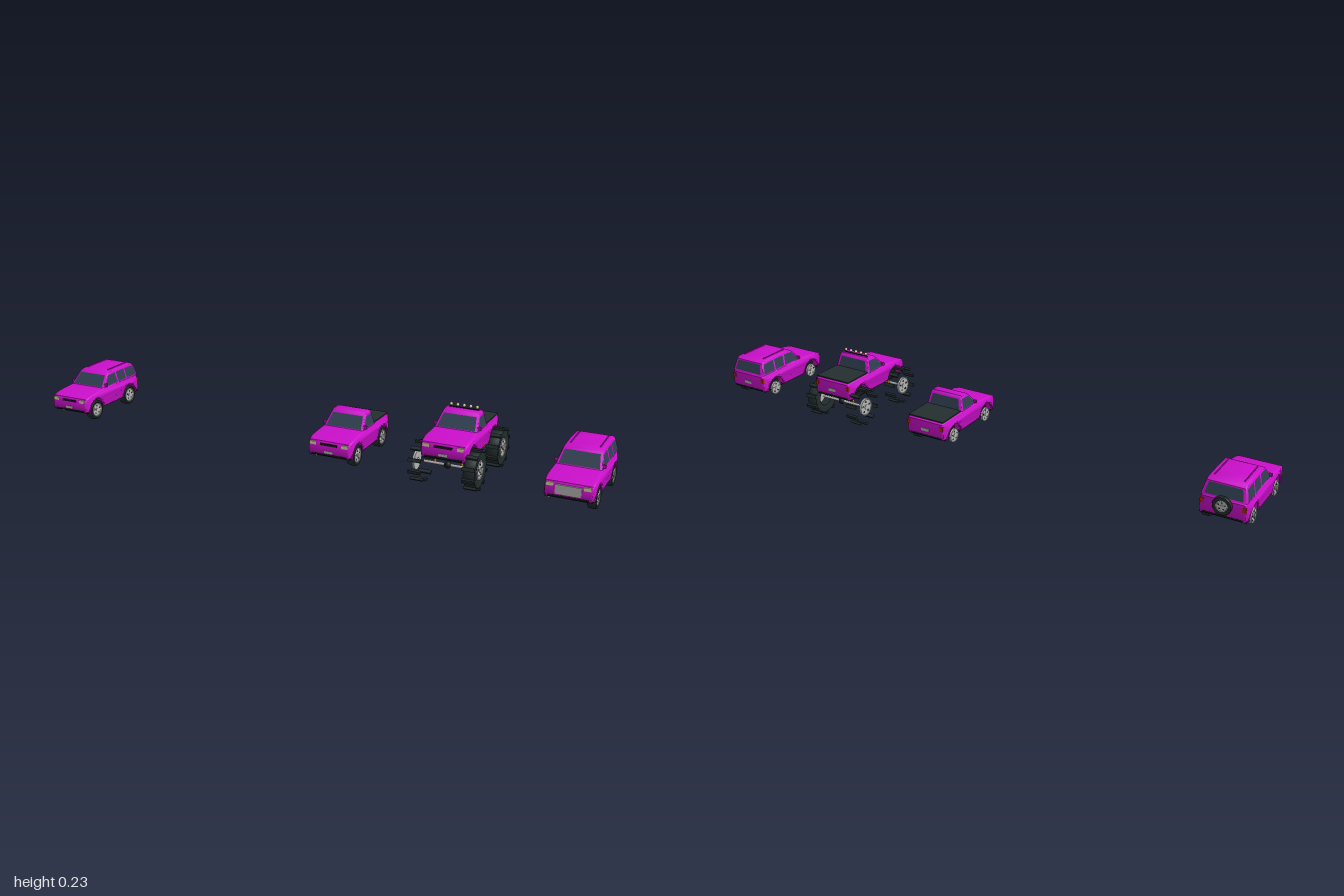
import * as THREE from 'three';
import { toCreasedNormals } from 'three/addons/utils/BufferGeometryUtils.js';

const mat = (name, color, side = THREE.FrontSide) => {
  const m = new THREE.MeshStandardMaterial({ color, side });
  m.name = name;
  return m;
};
const M = {
  paint: mat('magenta paint', 0xcc0fcc),
  glass: mat('slate glass', 0x2f3e50, THREE.DoubleSide),
  rubber: mat('tyre rubber', 0x222c2c),
  under: mat('black underside', 0x121819),
  bed: mat('bed liner', 0x252f2f),
  metal: mat('wheel metal', 0xb4b4b4),
  lamp: mat('cream lamp', 0xe0d4a4),
  tail: mat('red tail lamp', 0xb02414),
  spring: mat('orange spring', 0xe08a24),
};

function add(group, name, geo, material, x = 0, y = 0, z = 0) {
  const mesh = new THREE.Mesh(geo, material);
  mesh.name = name;
  mesh.position.set(x, y, z);
  group.add(mesh);
  return mesh;
}
const box = (w, h, d) => new THREE.BoxGeometry(w, h, d);
// Cylinder whose axis runs across the car
const disc = (r, w, n = 24) => new THREE.CylinderGeometry(r, r, w, n).rotateZ(Math.PI / 2);
const toShape = pts => new THREE.Shape(pts.map(p => new THREE.Vector2(p[0], p[1])));

// Side profile (z, y) extruded across the car, its width set by a rule
function hull(shape, halfWidth, bevel) {
  const depth = 2 - 2 * bevel.t;
  const geo = new THREE.ExtrudeGeometry(shape, {
    depth, curveSegments: 14, bevelEnabled: true, bevelSegments: 3,
    bevelThickness: bevel.t, bevelSize: bevel.s, bevelOffset: -bevel.s,
  });
  geo.translate(0, 0, -depth / 2).rotateY(-Math.PI / 2);
  const p = geo.attributes.position;
  for (let i = 0; i < p.count; i++) p.setX(i, p.getX(i) * halfWidth(p.getY(i), p.getZ(i)));
  return toCreasedNormals(geo, 0.6);
}

const ARCH_Z = [0.102, -0.1];
const bodyHalf = (y, z) =>
  0.079 - Math.max(0, y - 0.09) * 0.35 - Math.max(0, 0.055 - y) * 0.2 - Math.max(0, Math.abs(z) - 0.13) * 0.2;
const cabHalf = y => 0.072 - (y - 0.104) * 0.23;

function lowerBody(archR) {
  const s = toShape([[0.158, 0.043], [0.165, 0.055], [0.164, 0.082], [0.157, 0.093], [0.13, 0.1], [0.1, 0.104],
    [0.05, 0.108], [-0.155, 0.108], [-0.163, 0.1], [-0.165, 0.055], [-0.158, 0.042]]);
  for (const z of [...ARCH_Z].reverse()) s.absarc(z, 0.042, archR, Math.PI, 0, true);
  return hull(s, bodyHalf, { t: 0.07, s: 0.003 });
}

// Side window following the lean of the cab
function sidePane(group, name, pts) {
  for (const side of [-1, 1]) {
    const geo = new THREE.ShapeGeometry(toShape(pts)).rotateY(-Math.PI / 2);
    const p = geo.attributes.position;
    for (let i = 0; i < p.count; i++) p.setX(i, side * (cabHalf(p.getY(i)) + 0.001));
    geo.computeVertexNormals();
    add(group, name, geo, M.glass);
  }
}

// Flat window lying on the profile edge low -> high
function endPane(group, name, low, high, wLow, wHigh) {
  const dir = Math.sign(low[0] - high[0]);
  const n = new THREE.Vector2(high[1] - low[1], Math.abs(low[0] - high[0])).normalize().multiplyScalar(0.0012);
  const at = t => [low[0] + (high[0] - low[0]) * t + dir * n.x, low[1] + (high[1] - low[1]) * t + n.y];
  const [z0, y0] = at(0.12), [z1, y1] = at(0.92);
  const geo = new THREE.BufferGeometry();
  geo.setAttribute('position', new THREE.Float32BufferAttribute(
    [-wLow, y0, z0, wLow, y0, z0, wHigh, y1, z1, -wHigh, y1, z1], 3));
  geo.setIndex(dir > 0 ? [0, 1, 2, 0, 2, 3] : [0, 2, 1, 0, 3, 2]);
  geo.computeVertexNormals();
  add(group, name, geo, M.glass);
}

// Rim with cap and five openings; its outer face looks along +x
function rim(r, w) {
  const g = new THREE.Group();
  g.name = 'rim';
  add(g, 'rimDisc', disc(r, w), M.metal);
  add(g, 'rimLip', new THREE.TorusGeometry(r * 0.94, r * 0.07, 6, 24).rotateY(Math.PI / 2), M.metal, w / 2);
  add(g, 'hubCap', disc(r * 0.26, w + 0.004, 12), M.metal);
  for (let i = 0; i < 5; i++) {
    const a = i * Math.PI * 0.4;
    add(g, 'rimOpening', disc(r * 0.13, 0.001, 8), M.rubber, w / 2, Math.cos(a) * r * 0.58, Math.sin(a) * r * 0.58);
  }
  return g;
}
function tyre(r, inner, w) {
  const h = w / 2;
  const pts = [[inner, -h * 0.8], [r * 0.82, -h], [r * 0.95, -h * 0.9], [r, -h * 0.6], [r, h * 0.6],
    [r * 0.95, h * 0.9], [r * 0.82, h], [inner, h * 0.8], [inner, -h * 0.8]];
  const geo = new THREE.LatheGeometry(pts.map(p => new THREE.Vector2(...p)), 28).rotateZ(-Math.PI / 2);
  return toCreasedNormals(geo, 0.7);
}

// Right-hand (-x) wheels carry only the rim and, when big, the tread lugs
function wheel(side, big) {
  const g = new THREE.Group();
  g.name = big ? 'bigWheel' : 'wheel';
  const r = big ? 0.06 : 0.036, w = big ? 0.042 : 0.029, hub = big ? 0.032 : 0.025;
  if (side > 0) add(g, 'tyre', tyre(r, hub, w), M.rubber);
  const face = rim(hub, 0.006);
  face.position.x = side * (w / 2 - 0.006);
  if (side < 0) face.rotation.y = Math.PI;
  g.add(face);
  for (let i = 0; big && i < 10; i++) {
    const a = i * Math.PI / 5;
    const lug = add(g, 'treadLug', box(w, 0.008, 0.012), M.rubber, 0, -Math.cos(a) * 0.063, Math.sin(a) * 0.063);
    lug.rotation.x = -a;
  }
  return g;
}

function vehicle({ name, x, pickup, big, spare, wideGrille }) {
  const car = new THREE.Group();
  car.name = name;
  car.position.x = x;
  const body = new THREE.Group();
  body.name = 'body';
  body.position.y = big ? 0.057 : 0;
  car.add(body);

  // Shell and cab
  add(body, 'lowerBody', lowerBody(0.042), M.paint);
  const front = [[0.055, 0.104], [0.012, 0.149]];
  const rear = pickup ? [[-0.046, 0.104], [-0.036, 0.15]] : [[-0.163, 0.104], [-0.15, 0.148]];
  const roof = pickup ? [[0.002, 0.156], [-0.03, 0.157]] : [[0, 0.155], [-0.06, 0.158], [-0.138, 0.156]];
  add(body, 'cab', hull(toShape([...front, ...roof, rear[1], rear[0]]), cabHalf, { t: 0.07, s: 0.003 }), M.paint);
  add(body, 'underside', box(0.146, 0.003, 0.312), M.under, 0, 0.0415);
  add(body, 'wheelWells', box(0.1, 0.045, 0.3), M.under, 0, 0.066);
  for (const z of ARCH_Z) for (const s of [-1, 1])
    add(body, 'archFlare', new THREE.TorusGeometry(0.0425, 0.003, 6, 18, Math.PI).rotateY(Math.PI / 2), M.paint, s * 0.0755, 0.042, z);

  // Windows
  endPane(body, 'windscreen', ...front, 0.063, 0.055);
  endPane(body, 'rearWindow', ...rear, 0.06, 0.052);
  sidePane(body, 'frontSideWindow', [[0.041, 0.11], [0.008, 0.145], [-0.031, 0.147], [-0.037, 0.11]]);
  if (!pickup) {
    sidePane(body, 'middleSideWindow', [[-0.043, 0.11], [-0.04, 0.147], [-0.087, 0.147], [-0.09, 0.11]]);
    sidePane(body, 'rearSideWindow', [[-0.096, 0.11], [-0.093, 0.147], [-0.143, 0.145], [-0.152, 0.11]]);
    for (const s of [-1, 1]) add(body, 'roofRail', box(0.003, 0.003, 0.11), M.paint, s * 0.046, 0.159, -0.07);
  } else {
    add(body, 'bedCover', box(0.138, 0.004, 0.112), M.bed, 0, 0.1085, -0.104);
  }

  // Lamps, bumpers and mirrors
  for (const s of [-1, 1]) {
    add(body, 'headlamp', box(0.022, 0.011, 0.012), M.lamp, s * 0.057, 0.084, 0.1585);
    add(body, 'tailLamp', box(0.012, 0.016, 0.012), M.tail, s * 0.0655, 0.085, -0.159);
    add(body, 'mirror', box(0.012, 0.01, 0.007), M.paint, s * 0.073, 0.116, 0.036);
  }
  if (wideGrille) add(body, 'wideGrille', box(0.08, 0.03, 0.006), M.metal, 0, 0.071, 0.164);
  else {
    add(body, 'grille', box(0.06, 0.007, 0.004), M.under, 0, 0.083, 0.163);
    add(body, 'frontPlate', box(0.03, 0.008, 0.003), M.metal, 0, 0.058, 0.1645);
  }
  add(body, 'frontBumper', box(0.125, 0.006, 0.008), M.under, 0, 0.048, 0.159);
  add(body, 'rearBumper', box(0.125, 0.006, 0.008), M.under, 0, 0.048, -0.159);
  if (spare) {
    add(body, 'spareTyre', tyre(0.03, 0.018, 0.014).rotateY(Math.PI / 2), M.rubber, 0, 0.086, -0.17);
    const cover = rim(0.019, 0.01);
    cover.rotation.y = Math.PI / 2;
    cover.position.set(0, 0.086, -0.17);
    body.add(cover);
  } else add(body, 'rearPlate', box(0.03, 0.01, 0.003), M.metal, 0, 0.07, -0.165);

  // Running gear
  const wheelX = big ? 0.089 : 0.0645, wheelY = big ? 0.067 : 0.041;
  for (const z of big ? [0.114, -0.114] : ARCH_Z) {
    for (const s of [-1, 1]) {
      const w = wheel(s, big);
      w.position.set(s * wheelX, wheelY, z);
      car.add(w);
      if (!big) continue;
      add(car, 'shockAbsorber', new THREE.CylinderGeometry(0.004, 0.004, 0.04, 8), M.spring, s * 0.045, 0.082, z * 0.92);
    }
    if (big) {
      add(car, 'axle', disc(0.005, 0.16, 10), M.metal, 0, wheelY, z);
      add(car, 'differential', new THREE.SphereGeometry(0.012, 12, 8), M.under, 0, wheelY, z);
    }
  }
  if (big) {
    for (const s of [-1, 1]) add(car, 'frameRail', box(0.006, 0.008, 0.24), M.under, s * 0.03, 0.09);
    add(car, 'lightBar', box(0.1, 0.003, 0.003), M.under, 0, 0.2155, -0.021);
    for (let i = -2; i <= 2; i++) {
      add(car, 'lampPost', box(0.002, 0.008, 0.002), M.under, i * 0.022, 0.219, -0.021);
      add(car, 'roofLamp', new THREE.SphereGeometry(0.0055, 12, 8), M.lamp, i * 0.022, 0.224, -0.021);
    }
  }
  return car;
}

export function createModel() {
  const model = new THREE.Group();
  model.name = 'fourVehicles';
  model.add(
    vehicle({ name: 'wagonWithSpare', x: -0.921, spare: true }),
    vehicle({ name: 'pickup', x: 0.131, pickup: true }),
    vehicle({ name: 'bigWheelTruck', x: 0.524, pickup: true, big: true }),
    vehicle({ name: 'wagon', x: 0.921, wideGrille: true }),
  );
  return model;
}
